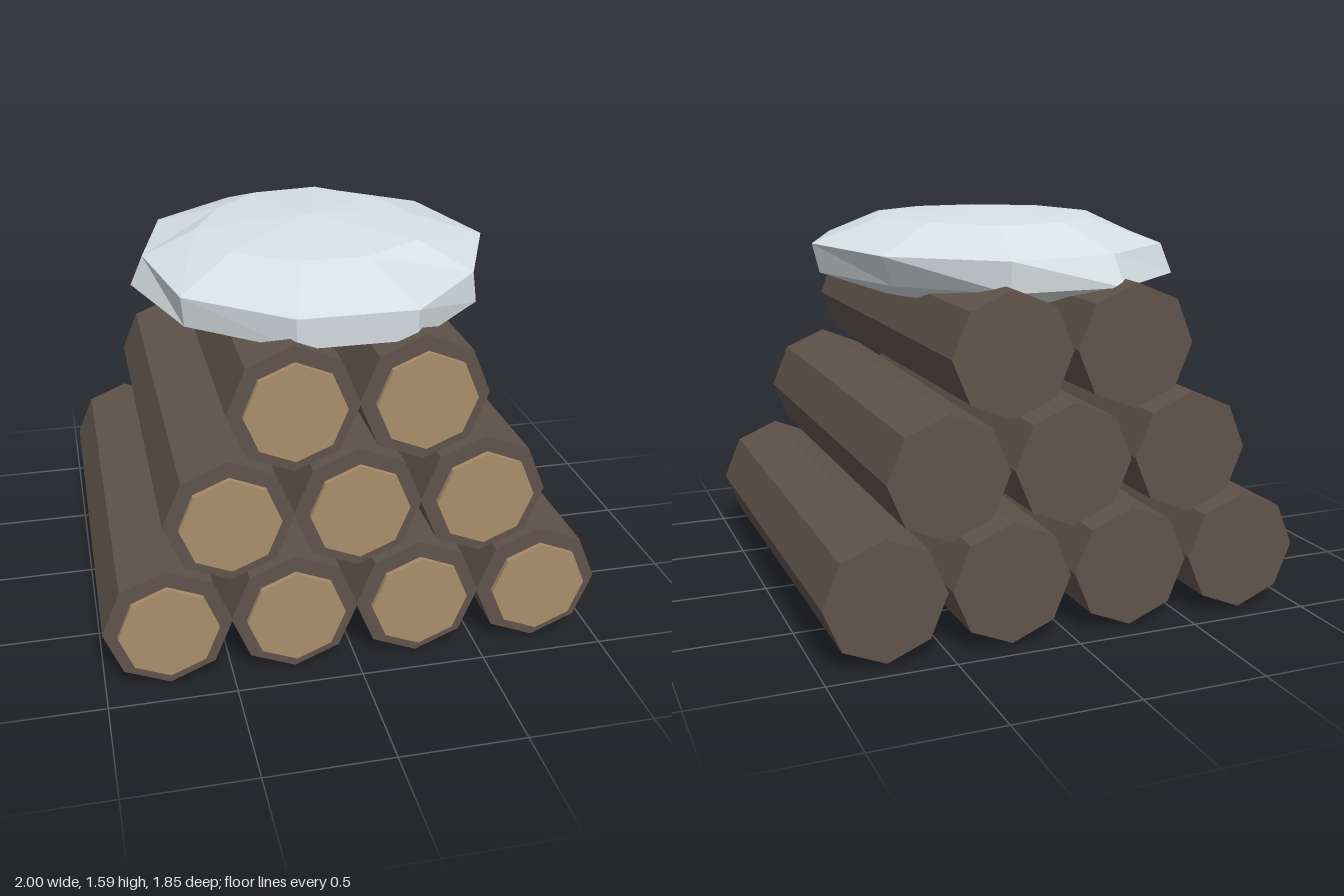
import * as THREE from 'three';

const bark = new THREE.MeshStandardMaterial({ name: 'bark', color: 0x60544b });
const cutWood = new THREE.MeshStandardMaterial({ name: 'cutWood', color: 0xaa8d6b });
const snow = new THREE.MeshStandardMaterial({ name: 'snow', color: 0xd8e2e5 });

// Eight-sided bar along z, widest at the front
function bar(frontRadius, backRadius, zBack, zFront) {
  const g = new THREE.CylinderGeometry(frontRadius, backRadius, zFront - zBack, 8);
  g.rotateX(Math.PI / 2);
  g.translate(0, 0, (zBack + zFront) / 2);
  return flat(g);
}

// Separate the faces so every facet is flat
function flat(g) {
  const out = g.toNonIndexed();
  out.computeVertexNormals();
  return out;
}

// Faceted flattened mound; each ring is pushed in or out a little
function snowCap() {
  const rings = {
    1: [1.03, 1.03, 0.93, 0.93, 1.0, 1.01, 0.97, 1.02, 0.95, 0.9],
    2: [0.93, 1.0, 0.99, 0.99, 0.92, 1.01, 1.03, 1.015, 0.93, 0.95],
    3: [1.0, 0.98, 0.98, 0.98, 0.94, 0.97, 0.94, 1.0, 1.0, 1.01],
    4: [1.0, 0.97, 1.0, 0.98, 1.0, 0.98, 1.0, 0.97, 1.0, 1.0],
  };
  const g = new THREE.SphereGeometry(1, 10, 5);
  const p = g.attributes.position;
  for (let i = 0; i < p.count; i++) {
    const ring = rings[Math.floor(i / 11)];
    const k = ring ? ring[(i % 11) % 10] : 1;
    p.setXYZ(i, p.getX(i) * k * 0.788, p.getY(i) * 0.195, p.getZ(i) * k * 0.94);
  }
  const mesh = new THREE.Mesh(flat(g), snow);
  mesh.name = 'snowCap';
  mesh.position.y = 1.4;
  return mesh;
}

export function createModel() {
  const model = new THREE.Group();
  model.name = 'logPile';
  const logShape = bar(0.252, 0.24, -0.923, 0.885);
  const endShape = bar(0.195, 0.195, 0.902, 0.923);

  // Rows of four, three and two logs
  for (let row = 0; row < 3; row++) {
    const count = 4 - row;
    for (let i = 0; i < count; i++) {
      const log = new THREE.Group();
      log.name = `log${row + 1}_${i + 1}`;
      const trunk = new THREE.Mesh(logShape, bark);
      trunk.name = 'trunk';
      const end = new THREE.Mesh(endShape, cutWood);
      end.name = 'cutEnd';
      log.add(trunk, end);
      log.position.set((i - (count - 1) / 2) * 0.498, 0.254 + row * 0.437, 0);
      model.add(log);
    }
  }
  model.add(snowCap());
  return model;
}
